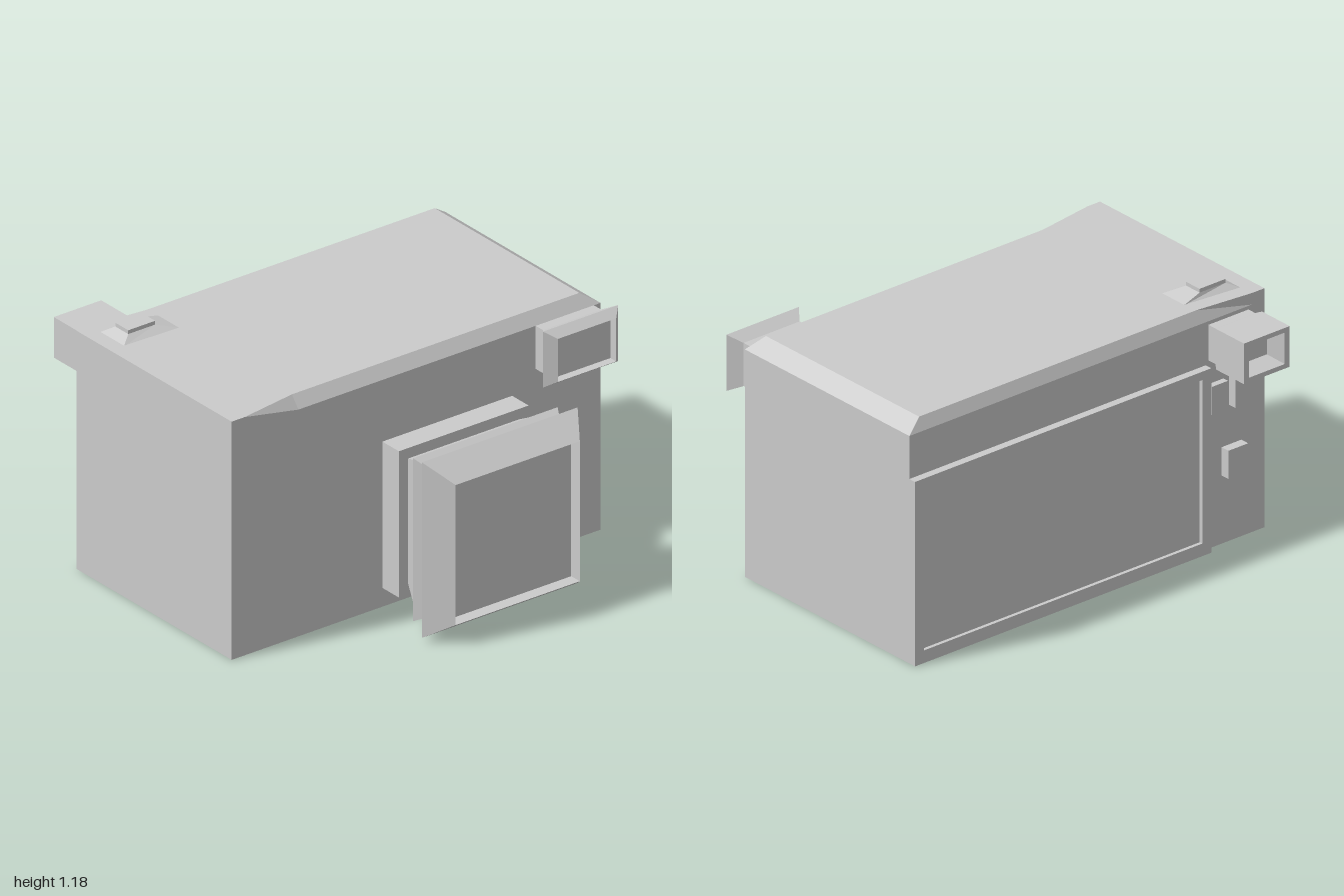
import * as THREE from 'three';

const material = new THREE.MeshStandardMaterial({ color: 0xcccccc, flatShading: true });

// Skin a list of equal-length rings, capped at both ends.
// Rings run counter-clockwise seen from the end of the loft.
function loft(name, rings) {
  const pos = [];
  const tri = (a, b, c) => pos.push(...a, ...b, ...c);
  const n = rings[0].length;
  for (let k = 0; k < rings.length - 1; k++) {
    const a = rings[k], b = rings[k + 1];
    for (let i = 0; i < n; i++) {
      const j = (i + 1) % n;
      tri(a[i], a[j], b[j]);
      tri(a[i], b[j], b[i]);
    }
  }
  const first = rings[0], last = rings[rings.length - 1];
  for (let i = 1; i < n - 1; i++) {
    tri(first[0], first[i + 1], first[i]);
    tri(last[0], last[i], last[i + 1]);
  }
  const geometry = new THREE.BufferGeometry();
  geometry.setAttribute('position', new THREE.Float32BufferAttribute(pos, 3));
  geometry.computeVertexNormals();
  const mesh = new THREE.Mesh(geometry, material);
  mesh.name = name;
  return mesh;
}

// Rectangular rings along x: [x, y0, y1, z0, z1]
const loftX = (name, sections) => loft(name, sections.map(([x, y0, y1, z0, z1]) =>
  [[x, y0, z0], [x, y1, z0], [x, y1, z1], [x, y0, z1]]));

// Square or rectangular rings about a centre: [x, halfHeight, halfDepth]
const loftCentred = (name, y, z, sections) => loftX(name,
  sections.map(([x, h, d = h]) => [x, y - h, y + h, z - d, z + d]));

function box(name, x0, x1, y0, y1, z0, z1) {
  const mesh = new THREE.Mesh(new THREE.BoxGeometry(x1 - x0, y1 - y0, z1 - z0), material);
  mesh.position.set((x0 + x1) / 2, (y0 + y1) / 2, (z0 + z1) / 2);
  mesh.name = name;
  return mesh;
}

export function createModel() {
  const model = new THREE.Group();
  model.name = 'camera';

  // Body: top edges bevelled towards the back, square at the front
  const L = -0.66, R = 0.42, shoulder = 1.085, top = 1.14;
  const bodyRing = (z, l, r, t) => [[L, 0, z], [R, 0, z], [R, shoulder, z], [r, t, z], [l, t, z], [L, shoulder, z]];
  model.add(loft('body', [
    bodyRing(-0.99, L, R, shoulder),
    bodyRing(-0.91, -0.63, 0.375, top),
    bodyRing(0.64, -0.63, 0.375, top),
    bodyRing(0.93, L, R, top),
    bodyRing(1, L, R, top),
  ]));

  // Main lens: mount, stepped barrel and hood with a shallow recess
  model.add(loftCentred('lens', 0.44, -0.163, [
    [0.41, 0.35], [0.535, 0.35], [0.535, 0.3], [0.62, 0.34], [0.685, 0.39],
    [0.74, 0.36], [0.785, 0.42], [0.91, 0.335], [0.85, 0.335],
  ]));

  // Small upper lens with a flared rim
  model.add(loftCentred('upperLens', 0.982, -0.797, [
    [0.41, 0.103, 0.157], [0.47, 0.103, 0.157], [0.53, 0.134, 0.203],
    [0.575, 0.103, 0.157], [0.535, 0.103, 0.157],
  ]));

  // Screen panel with a recessed face
  model.add(loftX('screenPanel', [
    [-0.68, 0.06, 0.84, -0.94, 0.62],
    [-0.697, 0.06, 0.84, -0.94, 0.62],
    [-0.697, 0, 0.88, -0.99, 0.67],
    [-0.65, 0, 0.88, -0.99, 0.67],
  ]));

  // Viewfinder: hollow eyepiece on a narrower neck
  model.add(loftCentred('viewfinder', 0.983, 0.798, [
    [-0.83, 0.05, 0.07], [-0.912, 0.075, 0.1], [-0.912, 0.097, 0.128],
    [-0.73, 0.097, 0.128], [-0.705, 0.085, 0.112], [-0.65, 0.085, 0.112],
  ]));

  // Side buttons
  model.add(
    box('upperButton', -0.705, -0.65, 0.65, 0.785, 0.8, 0.925),
    box('innerButton', -0.69, -0.65, 0.65, 0.785, 0.68, 0.77),
    box('lowerButton', -0.705, -0.65, 0.325, 0.46, 0.76, 0.87),
  );

  // Shutter button: sloped base and raised cap
  const capRing = (y) => [[-0.55, y, 0.73], [-0.55, y, 0.875], [-0.46, y, 0.875], [-0.46, y, 0.73]];
  model.add(loft('shutterButton', [
    [[-0.56, 1.138, 0.63], [-0.59, 1.138, 0.93], [-0.42, 1.138, 0.93], [-0.41, 1.138, 0.63]],
    capRing(1.165),
    capRing(1.183),
  ]));

  return model;
}
